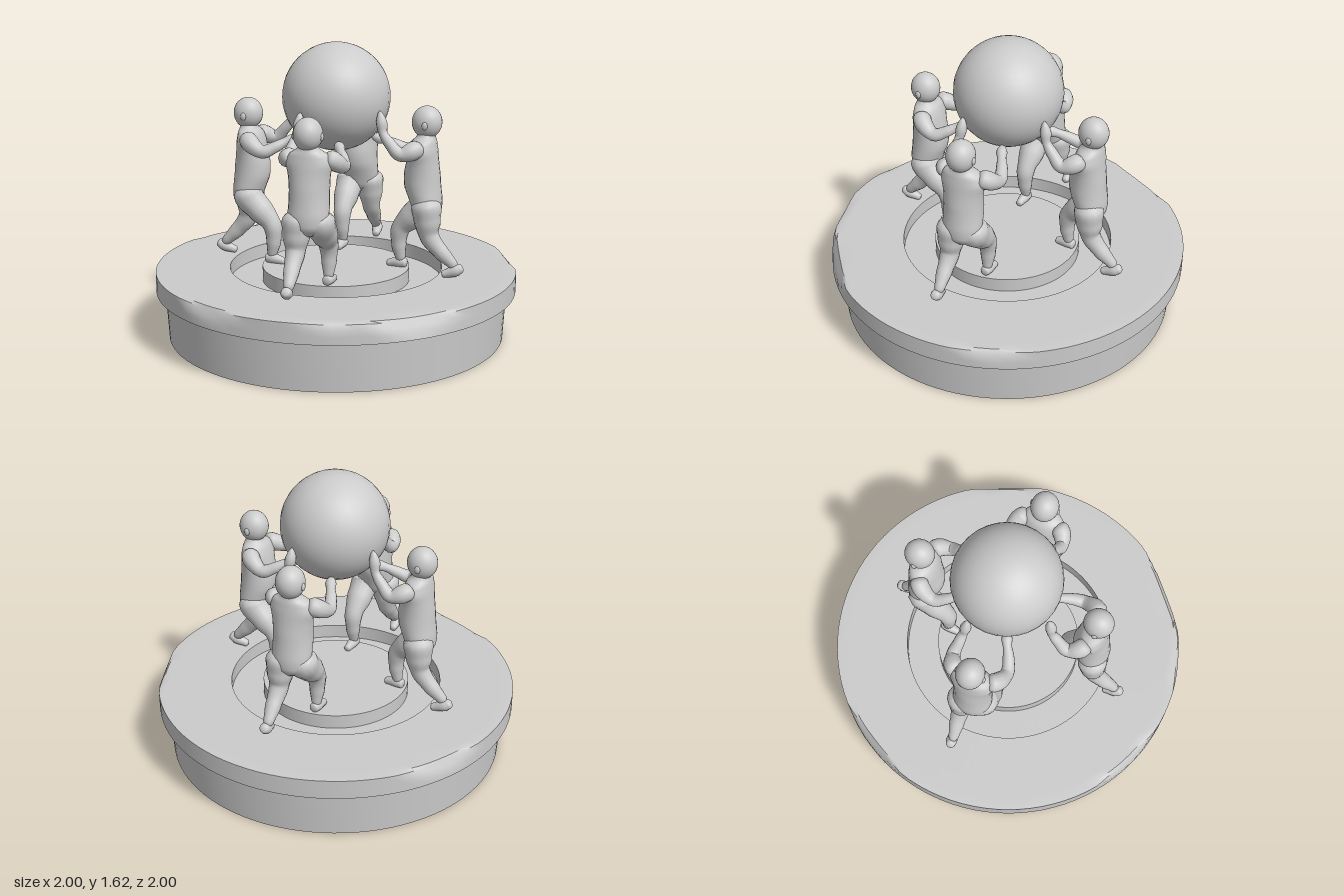
import * as THREE from 'three';
import { toCreasedNormals, mergeVertices } from 'three/addons/utils/BufferGeometryUtils.js';

const stone = new THREE.MeshStandardMaterial({ color: 0xcccccc });
const shell = new THREE.MeshStandardMaterial({ color: 0xcccccc, side: THREE.DoubleSide });

function part(parent, name, geometry, material = stone) {
  const mesh = new THREE.Mesh(geometry, material);
  mesh.name = name;
  parent.add(mesh);
  return mesh;
}

function smooth(geometry) {
  geometry.deleteAttribute('uv');
  geometry.deleteAttribute('normal');
  const welded = mergeVertices(geometry, 1e-5);
  welded.computeVertexNormals();
  return welded;
}

// Tapered limb: each stop is [x, y, z, radius]; both ends are rounded off
function limb(stops) {
  const curve = new THREE.CatmullRomCurve3(stops.map(s => new THREE.Vector3(s[0], s[1], s[2])));
  const rows = 28, sides = 14;
  const geo = new THREE.TubeGeometry(curve, rows, 1, sides);
  const pos = geo.attributes.position, v = new THREE.Vector3();
  for (let i = 0; i <= rows; i++) {
    const u = i / rows, t = curve.getUtoTmapping(u) * (stops.length - 1);
    const k = Math.min(Math.floor(t), stops.length - 2);
    const f = THREE.MathUtils.smoothstep(t - k, 0, 1);
    const edge = Math.min(1, Math.min(u, 1 - u) * rows / 3);
    const r = THREE.MathUtils.lerp(stops[k][3], stops[k + 1][3], f) * Math.sqrt(1 - (1 - edge) ** 2);
    const c = curve.getPointAt(u);
    for (let j = 0; j <= sides; j++) {
      const n = i * (sides + 1) + j;
      v.fromBufferAttribute(pos, n).sub(c).multiplyScalar(r).add(c);
      pos.setXYZ(n, v.x, v.y, v.z);
    }
  }
  return smooth(geo);
}

// Torso: each section is [y, centre z, half width, half depth]
function torso(sections) {
  const centre = new THREE.CatmullRomCurve3(sections.map(s => new THREE.Vector3(0, s[0], s[1])));
  const size = sections.map(s => new THREE.Vector3(s[2], 0, s[3]));
  const geo = new THREE.CylinderGeometry(1, 1, 1, 24, 28);
  const pos = geo.attributes.position;
  for (let i = 0; i < pos.count; i++) {
    const t = THREE.MathUtils.clamp(pos.getY(i) + 0.5, 0, 1), c = centre.getPoint(t);
    const k = Math.min(Math.floor(t * (size.length - 1)), size.length - 2);
    const s = size[k].clone().lerp(size[k + 1], t * (size.length - 1) - k);
    pos.setXYZ(i, pos.getX(i) * s.x, c.y, c.z + pos.getZ(i) * s.z);
  }
  return smooth(geo);
}

// Hollow plinth with a sunken ring around a raised disc, and chipped rim
function plinth() {
  const profile = [
    [0.935, 0], [0.95, 0.27], [1, 0.27], [1, 0.31], [1, 0.345], [1, 0.378], [0.97, 0.38], [0.93, 0.38],
    [0.85, 0.38], [0.59, 0.38], [0.59, 0.3], [0.41, 0.3], [0.41, 0.38], [0, 0.38],
  ].map(p => new THREE.Vector2(p[0], p[1]));
  const geo = new THREE.LatheGeometry(profile, 96);
  // chips: [angle from +x towards +z, radius left at the top edge]
  const chips = [[0.87, 0.955], [1.99, 0.97], [1.3, 0.98], [-0.4, 0.975], [-2.63, 0.965], [3.6, 0.98]];
  const pos = geo.attributes.position, v = new THREE.Vector3();
  for (const [angle, r] of chips) {
    const n = new THREE.Vector3(Math.cos(angle) * 0.9, 0.436, Math.sin(angle) * 0.9);
    const limit = r * 0.9 + 0.38 * 0.436;
    for (let i = 0; i < pos.count; i++) {
      v.fromBufferAttribute(pos, i);
      const over = v.dot(n) - limit;
      if (over > 0) v.addScaledVector(n, -over);
      pos.setXYZ(i, v.x, v.y, v.z);
    }
  }
  return toCreasedNormals(geo, 0.6);
}

// One figure standing at +z, facing the globe at the axis
function figure() {
  const g = new THREE.Group();
  part(g, 'torso', torso([
    [0.69, 0.515, 0.05, 0.045], [0.73, 0.515, 0.1, 0.078], [0.79, 0.507, 0.11, 0.09], [0.86, 0.49, 0.108, 0.1],
    [0.93, 0.485, 0.107, 0.099], [1.0, 0.487, 0.112, 0.087], [1.06, 0.49, 0.125, 0.078],
    [1.11, 0.495, 0.105, 0.066], [1.14, 0.503, 0.058, 0.05], [1.19, 0.508, 0.042, 0.042],
  ]));

  const head = part(g, 'head', new THREE.SphereGeometry(1, 24, 18));
  head.scale.set(0.077, 0.088, 0.082);
  head.position.set(0, 1.215, 0.507);
  for (const side of [-1, 1]) {
    const ear = part(g, 'ear', new THREE.SphereGeometry(1, 10, 8));
    ear.scale.set(0.01, 0.022, 0.016);
    ear.position.set(side * 0.075, 1.205, 0.51);
  }

  // left arm reaches high, right arm supports from below
  part(g, 'leftArm', limb([
    [-0.08, 1.1, 0.49, 0.05], [-0.125, 1.075, 0.455, 0.05], [-0.148, 1.06, 0.395, 0.037],
    [-0.138, 1.11, 0.34, 0.031], [-0.128, 1.165, 0.298, 0.024], [-0.12, 1.215, 0.288, 0.03], [-0.115, 1.285, 0.275, 0.016],
  ]));
  part(g, 'rightArm', limb([
    [0.08, 1.1, 0.49, 0.05], [0.125, 1.07, 0.455, 0.05], [0.15, 1.03, 0.375, 0.037],
    [0.13, 1.055, 0.31, 0.031], [0.1, 1.085, 0.255, 0.024], [0.085, 1.095, 0.225, 0.03], [0.065, 1.115, 0.175, 0.016],
  ]));

  // right leg bent in front, left leg braced behind
  part(g, 'frontLeg', limb([
    [0.05, 0.82, 0.51, 0.06], [0.055, 0.755, 0.495, 0.083], [0.06, 0.68, 0.425, 0.073], [0.063, 0.6, 0.355, 0.053],
    [0.063, 0.51, 0.345, 0.042], [0.063, 0.43, 0.355, 0.029], [0.063, 0.395, 0.36, 0.025],
  ]));
  part(g, 'frontFoot', limb([[0.06, 0.403, 0.395, 0.026], [0.065, 0.405, 0.35, 0.03], [0.072, 0.392, 0.275, 0.02]]));
  part(g, 'backLeg', limb([
    [-0.05, 0.82, 0.515, 0.06], [-0.055, 0.755, 0.523, 0.082], [-0.058, 0.68, 0.53, 0.072], [-0.06, 0.6, 0.543, 0.053],
    [-0.06, 0.52, 0.605, 0.043], [-0.055, 0.455, 0.67, 0.03], [-0.055, 0.425, 0.695, 0.026],
  ]));
  part(g, 'backFoot', limb([[-0.053, 0.442, 0.728, 0.024], [-0.06, 0.42, 0.69, 0.032], [-0.07, 0.393, 0.615, 0.02]]));
  return g;
}

export function createModel() {
  const model = new THREE.Group();
  model.name = 'globeMonument';
  part(model, 'plinth', plinth(), shell);

  const globe = part(model, 'globe', new THREE.SphereGeometry(0.295, 32, 24));
  globe.position.set(0, 1.33, -0.008);

  // four identical bearers, a quarter turn apart
  for (let i = 0; i < 4; i++) {
    const bearer = figure();
    bearer.name = 'bearer';
    bearer.rotation.y = i * Math.PI / 2;
    model.add(bearer);
  }
  return model;
}
